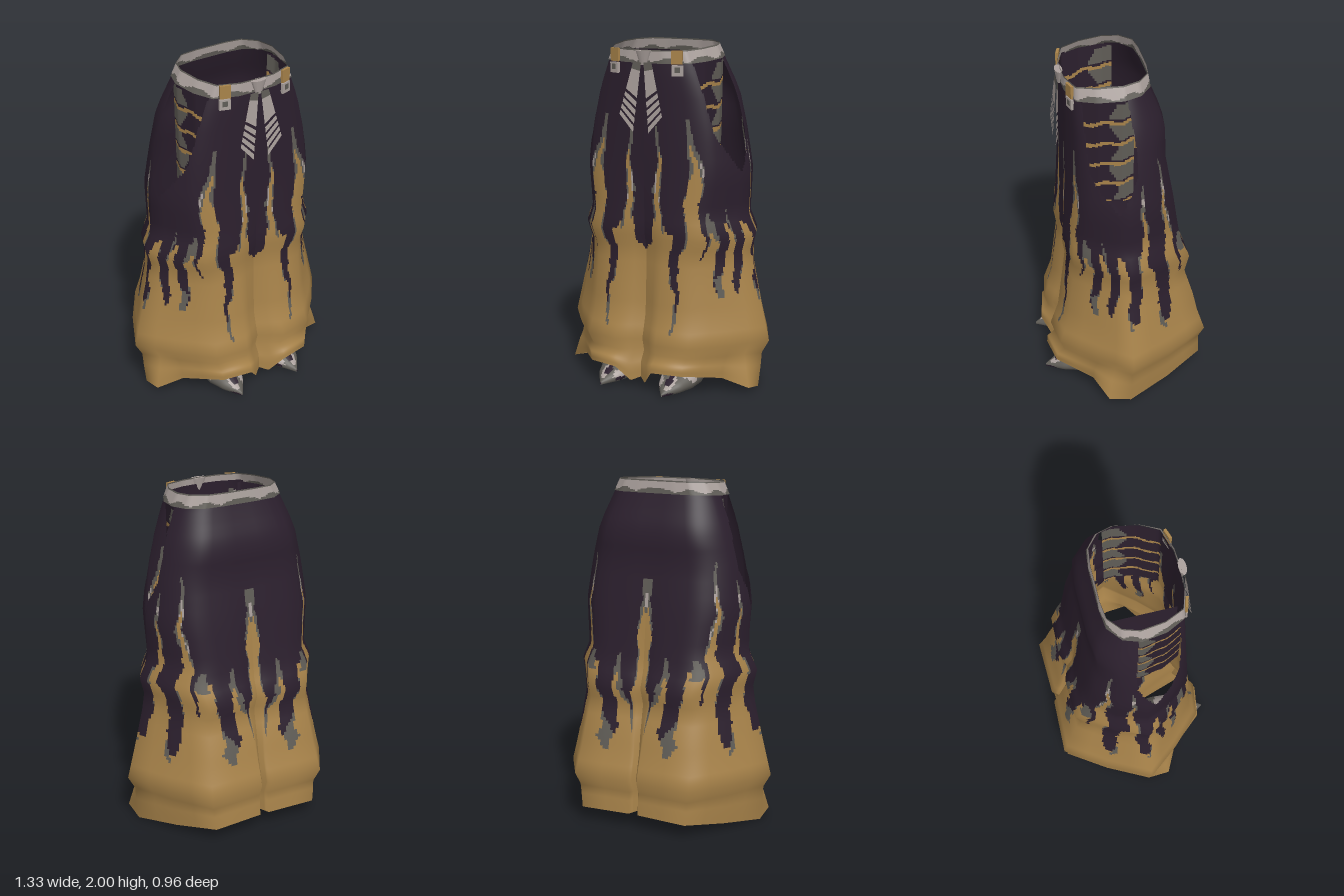
import * as THREE from 'three';

const flat = (name, color) => new THREE.MeshStandardMaterial({ name, color, side: THREE.DoubleSide });
const dark = flat('dark plum cloth', 0x2b1f2d);
const gold = flat('ochre cloth', 0xa8834a);
const grey = flat('dull grey', 0x5f5c56);
const light = flat('pale trim', 0xaaa09c);
const MATS = [dark, gold, grey, light];
const D = 0, G = 1, R = 2, L = 3, NONE = -1;

const lerp = THREE.MathUtils.lerp, clamp = THREE.MathUtils.clamp;
const ease = k => k * k * (3 - 2 * k);

// Value from a table of rows sorted by their first entry
function sample(table, t, col = 1, shape = k => k) {
  let i = 0;
  while (i < table.length - 2 && t > table[i + 1][0]) i++;
  const [a, b] = [table[i], table[i + 1]];
  return lerp(a[col], b[col], shape(clamp((t - a[0]) / (b[0] - a[0]), 0, 1)));
}

// Smooth grid surface; each cell takes a material index (or NONE to leave it open)
function surface(name, nu, nv, point, colour, side, normal) {
  const pos = [], nor = [], cells = MATS.map(() => []);
  for (let j = 0; j <= nv; j++) for (let i = 0; i <= nu; i++) {
    const [x, y, z] = point(i / nu, j / nv);
    pos.push(side * x, y, z);
    if (normal) {
      const n = normal(i / nu, j / nv);
      nor.push(side * n.x, n.y, n.z);
    }
  }
  for (let j = 0; j < nv; j++) for (let i = 0; i < nu; i++) {
    const u = (i + 0.5) / nu, v = (j + 0.5) / nv;
    const c = colour(u, v, point(u, v));
    if (c === NONE) continue;
    const a = j * (nu + 1) + i, b = a + 1, d = a + nu + 1, e = d + 1;
    cells[c].push(...(side > 0 ? [a, d, b, b, d, e] : [a, b, d, b, e, d]));
  }
  const geo = new THREE.BufferGeometry();
  geo.setAttribute('position', new THREE.Float32BufferAttribute(pos, 3));
  geo.setIndex(cells.flat());
  let start = 0;
  cells.forEach((list, m) => {
    if (list.length) geo.addGroup(start, list.length, m);
    start += list.length;
  });
  if (normal) geo.setAttribute('normal', new THREE.Float32BufferAttribute(nor, 3));
  else geo.computeVertexNormals();
  const mesh = new THREE.Mesh(geo, MATS);
  mesh.name = name;
  return mesh;
}

// Trouser outline by height: y, half width, front z, back z
const LEVELS = [
  [0, 0.60, 0.455, -0.46], [0.13, 0.615, 0.45, -0.455], [0.21, 0.62, 0.405, -0.45],
  [0.29, 0.665, 0.43, -0.48], [0.43, 0.63, 0.38, -0.435], [0.55, 0.60, 0.365, -0.41],
  [0.72, 0.56, 0.345, -0.36], [0.82, 0.545, 0.335, -0.39], [0.92, 0.57, 0.352, -0.345],
  [1.02, 0.515, 0.343, -0.325], [1.28, 0.52, 0.325, -0.285], [1.53, 0.475, 0.315, -0.24],
  [1.7, 0.43, 0.31, -0.24], [1.78, 0.40, 0.31, -0.215], [1.9, 0.345, 0.308, -0.165], [2, 0.295, 0.3, -0.15],
];
// Half outline, front seam round the side to back seam and inner leg: waist x, z then hem x, z
const RING = [
  [0, 1, 0, 0.8], [0.35, 0.98, 0.2, 1], [0.75, 0.85, 0.5, 0.93], [0.92, 0.5, 0.77, 0.5],
  [1, 0.05, 1, 0.05], [0.92, -0.5, 0.8, -0.5], [0.68, -0.92, 0.56, -1], [0.35, -1, 0.05, -0.98],
  [0, -1, 0, -0.86], [-0.011, 0.15, 0.16, 0.15], [0, 1, 0, 0.8],
];
// Hem height around the leg
const HEM = [[0, 0.06], [0.4, 0.04], [1, 0.13], [2, 0.13], [3, 0.09], [3.5, 0.03], [4, 0], [5, 0.04],
  [6, 0.08], [8, 0.09], [9, 0.06], [10, 0.06]];

function outline(s, y) {
  const X = sample(LEVELS, y, 1), front = sample(LEVELS, y, 2), back = sample(LEVELS, y, 3);
  const n = 1 - THREE.MathUtils.smoothstep(y, 0.3, 1.6);
  const i = Math.min(Math.floor(s), 9), k = s - i;
  const at = r => {
    const z = lerp(r[1], r[3], n);
    return [X * lerp(r[0], r[2], n), z * (z > 0 ? front : -back)];
  };
  const p = at(RING[i]), q = at(RING[i + 1]);
  return [lerp(p[0], q[0], k), lerp(p[1], q[1], k)];
}

// Top edge of the flames around the leg
const FLAMES = [
  [0, 0.82], [0.3, 0.85], [0.45, 1.05], [0.66, 1.4], [0.85, 0.98], [1.15, 0.93], [1.35, 0.62], [1.52, 0.4],
  [1.6, 0.9], [1.7, 1.25], [1.86, 1.45], [2.02, 1.3], [2.18, 0.95], [2.26, 0.78], [2.4, 1], [2.6, 0.95],
  [2.75, 0.6], [2.9, 0.62], [3.05, 1], [3.2, 0.95], [3.35, 0.58], [3.5, 0.62], [3.65, 1], [3.85, 0.98], [4, 0.58],
  [4.24, 0.56], [4.36, 0.95], [4.52, 1.3], [4.7, 0.9], [4.8, 0.72], [4.95, 0.5], [5.2, 0.5], [5.3, 1.1],
  [5.45, 1.42], [5.58, 1.1], [5.7, 0.75], [5.85, 0.95], [6.2, 0.95], [6.35, 0.55], [6.6, 0.5], [6.75, 0.95],
  [6.9, 0.8], [7.1, 0.62], [7.4, 0.8], [8, 1.3], [8.6, 0.8], [9, 0.3], [9.4, 0.75], [10, 0.82],
];
// Side opening: y, back z, front z
const SLIT = [[1.29, 0.065, 0.08], [1.4, 0.01, 0.16], [1.5, -0.035, 0.215], [1.65, -0.035, 0.23], [1.92, 0.0, 0.24]];

function legColour(u, v, [x, y, z]) {
  const s = u * 10;
  if (s > 8 && y > 1.4) return NONE;
  if (s < 6 && y > 1.29 && z > sample(SLIT, y, 1) && z < sample(SLIT, y, 2)) return NONE;
  const lean = s < 3 ? 0.5 * Math.max(0, y - 1) * Math.min(1, s) : 0;
  const shift = lean + 0.06 * Math.sin(y * 17 + s) + 0.025 * Math.sin(y * 41);
  const edge = sample(FLAMES, clamp(s + shift, 0, 10), 1, k => ease(ease(k)));
  const gap = y - edge, patch = Math.sin(s * 7.3 + y * 9);
  if (s > 0.3 && gap > -0.05 && gap < 0.07 && patch > 0.2) return y > 1.1 && patch > 0.6 ? L : R;
  if (y > 1.15 && gap > 0 && gap < 0.15) return R;
  return gap > 0 ? D : G;
}

function legPoint(u, v) {
  const s = u * 10, h = 1.93 * (1 - v), [x, z] = outline(s, h);
  if (h > 0.22) return [x, h, z];
  // The hem flares a little at the side
  const flare = (1 - h / 0.22) * Math.max(0, 1 - Math.abs(s - 3.5) * 2);
  return [x + 0.07 * flare, lerp(sample(HEM, s), 0.22, h / 0.22), z + 0.03 * flare];
}

// Broad normals give the cloth soft folds
function legNormal(u, v) {
  const [lo, hi] = u <= 0.8 ? [0, 0.8] : [0.8, 1];
  const span = (a, b) => new THREE.Vector3(...legPoint(...b)).sub(new THREE.Vector3(...legPoint(...a)));
  const across = span([Math.max(lo, u - 0.05), v], [Math.min(hi, u + 0.05), v]);
  const down = span([u, Math.max(0, v - 0.04)], [u, Math.min(1, v + 0.04)]);
  return down.cross(across).normalize();
}

// Waistband follows the top outline and tilts down to the front
function beltPoint(u, v) {
  const s = u * 8, [, z0] = outline(s, 1.95);
  const y = 1.99 - 0.067 * z0 - 0.075 * v, [x, z] = outline(s, y);
  return [x * 1.01, y, z * 1.02];
}
const beltColour = (u, v) => v > 0.72 + 0.15 * Math.sin(u * 31) || v < 0.12 ? R : L;

// Banded panel standing inside the side opening
function panelPoint(u, v) {
  const [x, z] = outline(1.9 + u * 2.7, 1.9);
  return [x * (0.97 - 0.04 * v), 1.92 - 0.66 * v, z];
}
function panelColour(u, v, [, y, z]) {
  const rise = y + 0.1 * (z - 0.1) + 0.008 * Math.sin(z * 40);
  const band = (rise + 0.06) % 0.13;
  if (y < 1.83 && band < 0.022) return G;
  if (band < 0.035) return D;
  return z < 0.07 + 0.03 * Math.sin(y * 22) ? R : D;
}

// Shoe sections: z, half width, height
const SHOE = [[-0.12, 0.005, 0.1], [-0.105, 0.05, 0.22], [-0.06, 0.06, 0.25], [0.02, 0.065, 0.24], [0.1, 0.095, 0.2],
  [0.17, 0.112, 0.17], [0.28, 0.112, 0.115], [0.38, 0.075, 0.07], [0.48, 0.004, 0.015]];
function shoePoint(u, v) {
  const z = lerp(-0.12, 0.48, v), a = u * Math.PI * 2;
  const y = Math.cos(a) * 0.62 + 0.38;
  return [0.185 + 0.02 * Math.min(1, 2 * v) + sample(SHOE, z, 1) * Math.sin(a),
    0.01 + sample(SHOE, z, 2) * Math.max(0, y), z];
}
function shoeColour(u, v, [x, y, z]) {
  const off = Math.abs(x - 0.205), p = Math.sin(u * 17 + v * 9) + Math.sin(v * 23 - u * 6);
  if (z < -0.07) return D;
  if (z < 0.03 && y > 0.12) return G;
  if (z < 0.06 || (z > 0.12 && z < 0.15 && off < 0.05)) return D;
  if (y < 0.04) return p > 0.9 ? D : R;
  if (z > 0.2 && z < 0.42 && off < 0.02) return D;
  return p > 0.1 && z > 0.1 ? L : R;
}

// Slanted piece of a sash tail between two fractions of its length
function sashPiece(t0, t1, mat, side) {
  const inner = t => [lerp(0.008, 0.05, t), lerp(1.9, 1.5, t)];
  const outer = t => [lerp(0.06, 0.14, t), lerp(1.9, 1.6, t)];
  return surface('sashTail', 1, 1, (u, v) => {
    const t = lerp(t0, t1, v), a = inner(t), b = outer(t);
    return [lerp(a[0], b[0], u), lerp(a[1], b[1], u), 0.33 + 0.022 * t];
  }, () => mat, side);
}

export function createModel() {
  const model = new THREE.Group();
  model.name = 'trousers';
  const box = (name, size, mat, position, turn) => {
    const mesh = new THREE.Mesh(new THREE.BoxGeometry(...size), mat);
    mesh.name = name;
    mesh.position.set(...position);
    mesh.rotation.y = turn;
    model.add(mesh);
  };
  for (const side of [1, -1]) {
    const tag = side > 0 ? 'left' : 'right';
    model.add(surface(tag + 'Leg', 160, 120, legPoint, legColour, side, legNormal));
    model.add(surface(tag + 'Waistband', 48, 10, beltPoint, beltColour, side));
    model.add(surface(tag + 'SidePanel', 30, 70, panelPoint, panelColour, side));
    model.add(surface(tag + 'Shoe', 36, 40, shoePoint, shoeColour, side));
    // Belt loops with pale tabs below
    box(tag + 'BeltLoop', [0.062, 0.075, 0.016], gold, [side * 0.2, 1.933, 0.29], side * 0.3);
    box(tag + 'LoopTab', [0.064, 0.06, 0.016], light, [side * 0.203, 1.86, 0.29], side * 0.3);
    box(tag + 'TabNotch', [0.03, 0.03, 0.02], grey, [side * 0.203, 1.865, 0.29], side * 0.3);
    // Sash tails, solid above and feathered below
    model.add(sashPiece(0, 0.12, R, side), sashPiece(0.12, 0.5, L, side));
    for (let i = 0; i < 4; i++) model.add(sashPiece(0.55 + i * 0.118, 0.63 + i * 0.118, L, side));
  }
  // Sash knot, tapering downwards
  const knot = new THREE.Mesh(new THREE.CylinderGeometry(0.05, 0.02, 0.08, 12), light);
  knot.name = 'sashKnot';
  knot.scale.z = 0.45;
  knot.position.set(0, 1.925, 0.318);
  model.add(knot);
  return model;
}
